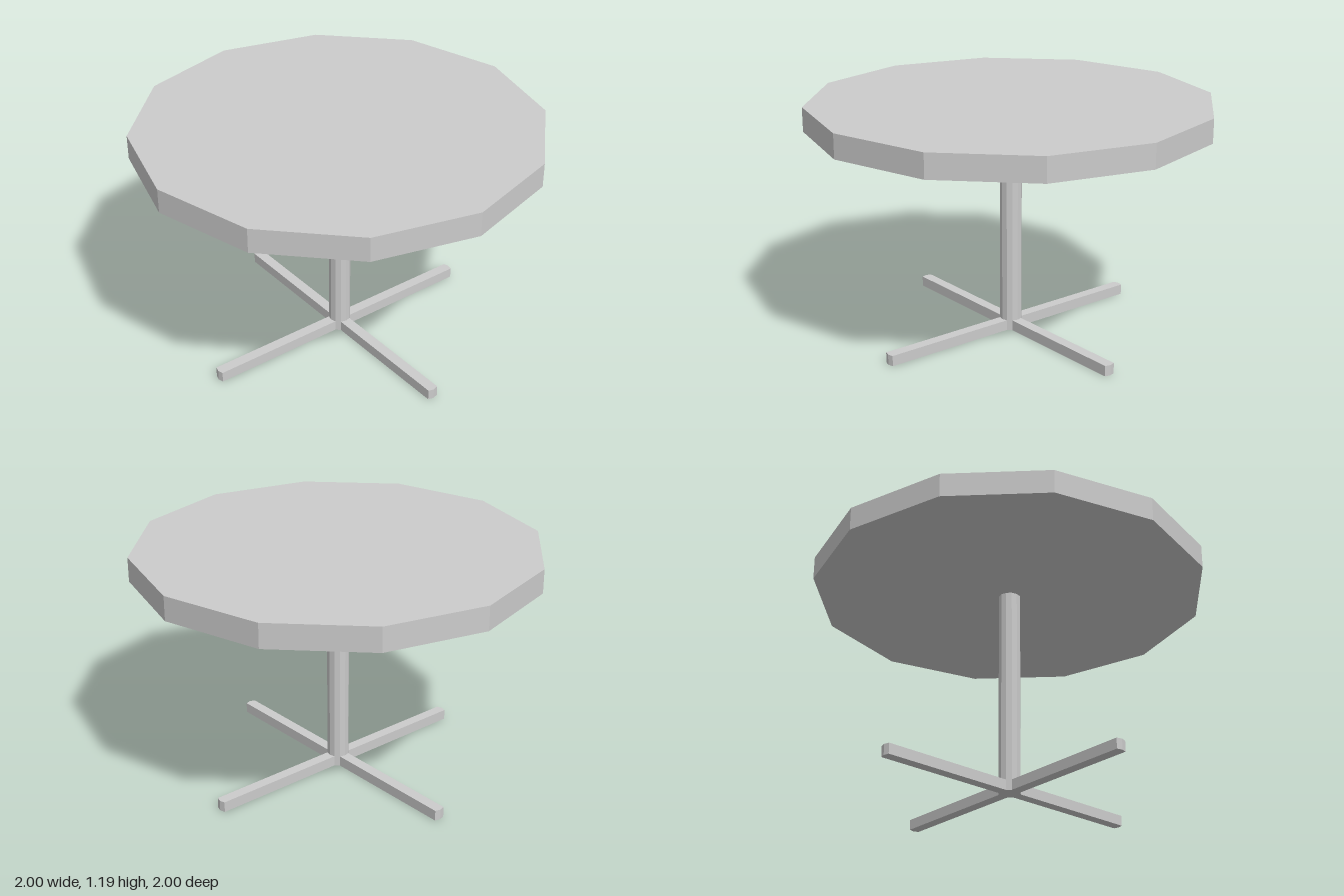
import * as THREE from 'three';

const SIDES = 12;
const TOP_Y = 1.187, TOP_THICK = 0.12;
const POST_R = 0.055, FOOT_H = 0.053, ARM = 0.75;

const material = new THREE.MeshStandardMaterial({ color: 0xcccccc, flatShading: true });

function part(name, geometry, y = 0) {
  const mesh = new THREE.Mesh(geometry, material);
  mesh.name = name;
  mesh.position.y = y;
  return mesh;
}

// Four-armed foot outline: each arm is the post's two facets around an axis, drawn outward
function footShape() {
  const inner = POST_R * Math.cos(Math.PI / 6);
  const half = POST_R * Math.sin(Math.PI / 6);
  const shoulder = ARM - (POST_R - inner);
  const arm = [[inner, -half], [shoulder, -half], [ARM, 0], [shoulder, half], [inner, half]];
  const points = [];
  for (let i = 0; i < 4; i++) {
    for (const [x, y] of arm) {
      points.push(new THREE.Vector2(x, y).rotateAround(new THREE.Vector2(), i * Math.PI / 2));
    }
  }
  return new THREE.Shape(points);
}

export function createModel() {
  const table = new THREE.Group();
  table.name = 'pedestalTable';

  // Twelve-sided tabletop
  table.add(part('tabletop', new THREE.CylinderGeometry(1, 1, TOP_THICK, SIDES), TOP_Y - TOP_THICK / 2));

  // Central post between foot and tabletop
  const postH = TOP_Y - TOP_THICK - FOOT_H;
  table.add(part('post', new THREE.CylinderGeometry(POST_R, POST_R, postH, SIDES, 1, true), FOOT_H + postH / 2));

  // Cross-shaped foot
  const foot = new THREE.ExtrudeGeometry(footShape(), { depth: FOOT_H, bevelEnabled: false });
  foot.rotateX(-Math.PI / 2);
  table.add(part('crossFoot', foot));

  return table;
}
